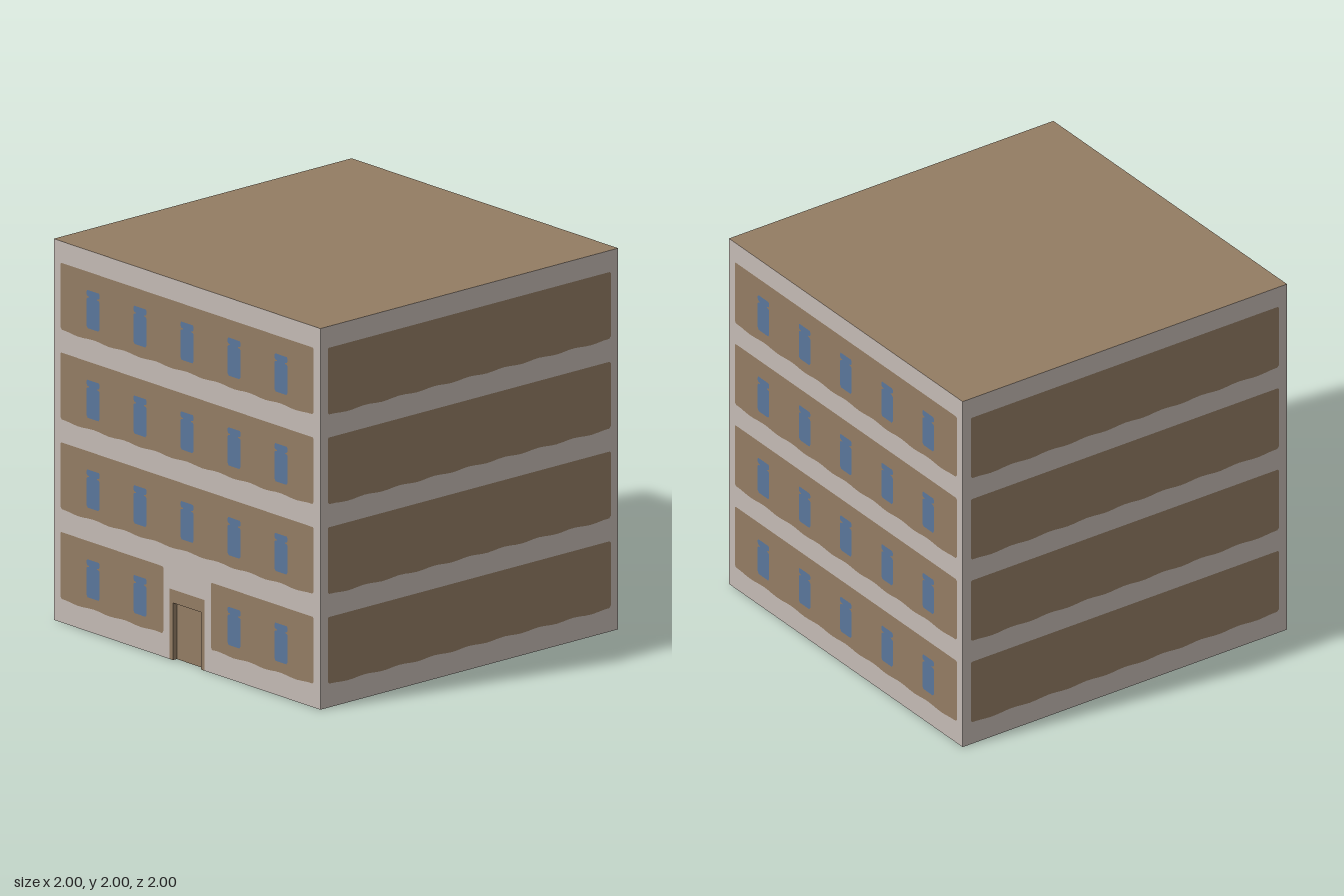
import * as THREE from 'three';

const mat = (name, color) => {
  const m = new THREE.MeshStandardMaterial({ color, side: THREE.DoubleSide });
  m.name = name;
  return m;
};

const PITCH = 0.471, FLOORS = 4;
const COLUMNS = [-0.705, -0.353, 0, 0.353, 0.705];
const toShape = pts => new THREE.Shape(pts.map(([x, y]) => new THREE.Vector2(x, y)));

// long plaster panel with clipped corners and a slightly ragged lower edge
function panelPoints(x0, x1, y) {
  const pts = [[x0, y + 0.135]];
  const n = Math.round((x1 - x0) / 0.04);
  for (let i = 0; i <= n; i++) {
    const x = x0 + 0.01 + (x1 - x0 - 0.02) * i / n;
    pts.push([x, y + 0.12 + 0.004 * Math.cos(x * 27)]);
  }
  pts.push([x1, y + 0.135], [x1, y + 0.467], [x1 - 0.007, y + 0.474], [x0 + 0.007, y + 0.474], [x0, y + 0.467]);
  return pts;
}

// window pane with a transom pinched off above the main light
function windowPoints(x, y) {
  const half = [[0.04, 0.178], [0.049, 0.19], [0.049, 0.33], [0.043, 0.337], [0.03, 0.34],
    [0.03, 0.344], [0.043, 0.347], [0.049, 0.355], [0.049, 0.37], [0.043, 0.378]];
  const right = half.map(([u, v]) => [x + u, y + v]);
  const left = half.map(([u, v]) => [x - u, y + v]).reverse();
  return [...right, ...left];
}

const frame = (w, h) => [[-w, 0], [-w, h], [w, h], [w, 0]];

export function createModel() {
  const stone = mat('pale stone', 0xc4bab4);
  const plaster = mat('brown plaster', 0x937c63);
  const glass = mat('blue glass', 0x5a769b);
  const model = new THREE.Group();
  const add = (parent, name, geometry, material) => {
    const mesh = new THREE.Mesh(geometry, material);
    mesh.name = name;
    parent.add(mesh);
    return mesh;
  };

  // one wall: stone grid, panels set in its openings, panes set in the panels
  function wall(name, angle, hasWindows, hasDoor) {
    const group = new THREE.Group();
    group.name = name;
    const stoneShape = toShape(hasDoor
      ? [[-1, 0], ...frame(0.13, 0.37), [1, 0], [1, 2], [-1, 2]]
      : [[-1, 0], [1, 0], [1, 2], [-1, 2]]);
    const panels = [], panes = [];
    for (let f = 0; f < FLOORS; f++) {
      const y = f * PITCH;
      const split = hasDoor && f === 0;
      const spans = split ? [[-0.95, -0.178], [0.178, 0.95]] : [[-0.95, 0.95]];
      for (const [x0, x1] of spans) {
        const pts = panelPoints(x0, x1, y);
        const panel = toShape(pts);
        stoneShape.holes.push(toShape(pts));
        if (hasWindows) for (const x of COLUMNS) {
          if (x < x0 || x > x1) continue;
          const w = windowPoints(x, y);
          panel.holes.push(toShape(w));
          panes.push(toShape(w));
        }
        panels.push(panel);
      }
    }
    add(group, 'wallStone', new THREE.ShapeGeometry(stoneShape), stone);
    add(group, 'wallPanels', new THREE.ShapeGeometry(panels), plaster);
    if (hasWindows) add(group, 'windows', new THREE.ShapeGeometry(panes), glass);
    if (hasDoor) addDoor(group);
    group.rotation.y = angle;
    group.position.set(Math.sin(angle), 0, Math.cos(angle));
    model.add(group);
  }

  // door surround flush with the wall, and a shallow recess holding the door
  function addDoor(group) {
    const w = 0.105, h = 0.3, depth = 0.025;
    const surround = toShape([[-0.13, 0], ...frame(w, h), [0.13, 0], [0.13, 0.37], [-0.13, 0.37]]);
    add(group, 'doorSurround', new THREE.ShapeGeometry(surround), plaster);
    add(group, 'door', new THREE.PlaneGeometry(2 * w, h), plaster).position.set(0, h / 2, -depth);
    for (const s of [-1, 1]) {
      const jamb = add(group, 'doorJamb', new THREE.PlaneGeometry(depth, h), plaster);
      jamb.rotation.y = -s * Math.PI / 2;
      jamb.position.set(s * w, h / 2, -depth / 2);
    }
    const lintel = add(group, 'doorLintel', new THREE.PlaneGeometry(2 * w, depth), plaster);
    lintel.rotation.x = Math.PI / 2;
    lintel.position.set(0, h, -depth / 2);
  }

  wall('frontWall', 0, false, false);
  wall('backWall', Math.PI, false, false);
  wall('windowWall', Math.PI / 2, true, false);
  wall('entranceWall', -Math.PI / 2, true, true);

  // flat roof closing the open-bottomed shell
  const roof = add(model, 'roof', new THREE.PlaneGeometry(2, 2), plaster);
  roof.rotation.x = -Math.PI / 2;
  roof.position.y = 2;
  return model;
}
